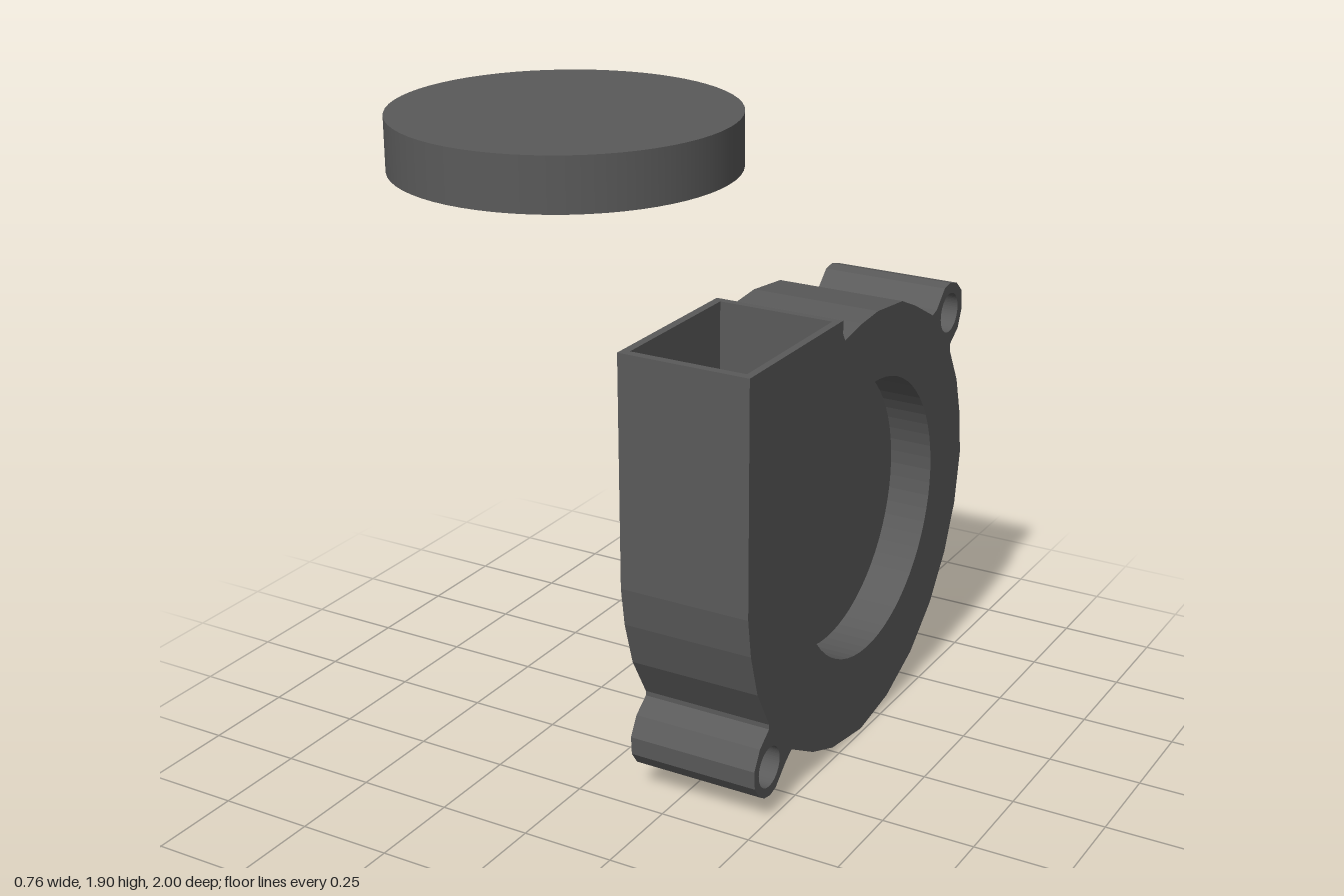
import * as THREE from 'three';

// Housing outline as [z, y], from the outlet's front corner down and around
const OUTLINE = [
  [0.24, 1.22], [0.24, 0.6], [0.225, 0.495], [0.19, 0.375], [0.128, 0.264],
  // lower mounting lug
  [0.128, 0.251], [0.175, 0.216], [0.203, 0.165], [0.2, 0.115], [0.175, 0.08], [0.15, 0.064], [0.12, 0.058],
  [0.09, 0.065], [0.035, 0.115], [0.005, 0.134],
  // volute
  [-0.115, 0.067], [-0.23, 0.024], [-0.4, 0], [-0.56, 0.028], [-0.71, 0.098], [-0.83, 0.2],
  [-0.92, 0.325], [-0.975, 0.455], [-1, 0.6], [-0.987, 0.72], [-0.955, 0.835], [-0.9, 0.937],
  // upper mounting lug
  [-0.9, 0.957], [-0.947, 0.99], [-0.968, 1.04], [-0.962, 1.095], [-0.928, 1.125], [-0.885, 1.136],
  [-0.85, 1.13], [-0.802, 1.083], [-0.777, 1.075],
  // top of the volute up to the outlet
  [-0.66, 1.137], [-0.58, 1.172], [-0.435, 1.187], [-0.345, 1.18], [-0.25, 1.164], [-0.238, 1.185], [-0.238, 1.22],
];
// Cut-out for the outlet duct, in the top edge
const NOTCH = [[-0.217, 1.22], [-0.217, 0.97], [0.217, 0.97], [0.217, 1.22]];
const SCREW_HOLES = [[0.125, 0.142], [-0.885, 1.051]];

export function createModel() {
  const group = new THREE.Group();
  const material = new THREE.MeshStandardMaterial({ color: 0x5a5a5a });

  const addHole = (shape, [z, y], radius) =>
    shape.holes.push(new THREE.Path().absarc(-z, y, radius, 0, Math.PI * 2, true));

  // One slice of the housing between two x positions
  function addSlice(name, x0, x1, { duct = false, inlet = false }) {
    const points = duct ? [...OUTLINE, ...NOTCH] : OUTLINE;
    const shape = new THREE.Shape(points.map(([z, y]) => new THREE.Vector2(-z, y)));
    SCREW_HOLES.forEach((c) => addHole(shape, c, 0.055));
    if (inlet) addHole(shape, [-0.419, 0.618], 0.38);
    const geometry = new THREE.ExtrudeGeometry(shape, { depth: x1 - x0, bevelEnabled: false, curveSegments: 32 });
    geometry.rotateY(Math.PI / 2).translate(x0, 0, 0);
    const mesh = new THREE.Mesh(geometry, material);
    mesh.name = name;
    housing.add(mesh);
  }

  const housing = new THREE.Group();
  housing.name = 'blowerHousing';
  group.add(housing);
  addSlice('backPlate', -0.12, -0.098, {});
  addSlice('ductBody', -0.098, 0.12, { duct: true });
  addSlice('inletBody', 0.12, 0.22, { duct: true, inlet: true });
  addSlice('inletPlate', 0.22, 0.24, { inlet: true });

  // Separate round disc floating above the front
  const disc = new THREE.Mesh(new THREE.CylinderGeometry(0.38, 0.38, 0.12, 64), material);
  disc.name = 'rotorDisc';
  disc.position.set(0, 1.842, 0.62);
  group.add(disc);

  return group;
}
